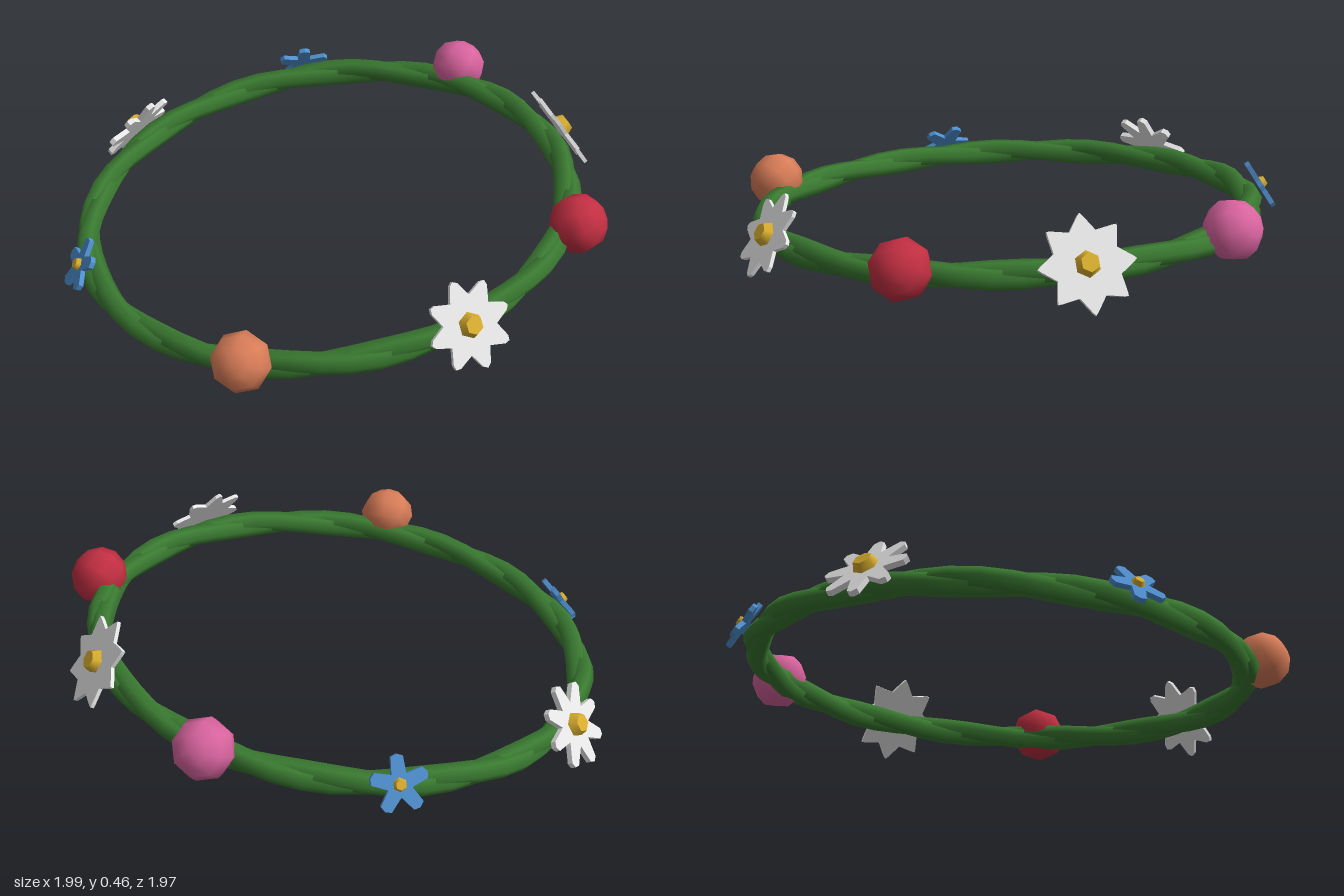
import * as THREE from 'three';

const mat = (name, color, side = THREE.FrontSide) => {
  const m = new THREE.MeshStandardMaterial({ color, side });
  m.name = name;
  return m;
};

export function createModel() {
  const green = mat('vine green', 0x3a7a31);
  const white = mat('petal white', 0xe8e8e8);
  const yellow = mat('pollen yellow', 0xd9ae2f);
  const blue = mat('petal blue', 0x4f8fcf);
  const red = mat('rose red', 0xc22f42);
  const pink = mat('rose pink', 0xd9649f);
  const orange = mat('rose orange', 0xd97d58);

  const crown = new THREE.Group();
  crown.name = 'flowerCrown';
  const add = (parent, name, geometry, material) => {
    const mesh = new THREE.Mesh(geometry, material);
    mesh.name = name;
    parent.add(mesh);
    return mesh;
  };

  // Tilted ring of two vines twisted round each other
  const ring = new THREE.Group();
  ring.name = 'vineRing';
  ring.position.set(-0.018, 0.176, -0.015);
  ring.rotation.z = Math.atan(0.129);
  crown.add(ring);
  const R = 0.879, offset = 0.012, twists = 7;
  for (let s = 0; s < 2; s++) {
    const points = [];
    for (let i = 0; i < 56; i++) {
      const a = (i / 56) * Math.PI * 2;
      const w = a * twists + s * Math.PI;
      const r = R + offset * Math.cos(w);
      points.push(new THREE.Vector3(r * Math.cos(a), offset * Math.sin(w), r * Math.sin(a)));
    }
    const path = new THREE.CatmullRomCurve3(points, true);
    add(ring, 'vine' + (s + 1), new THREE.TubeGeometry(path, 56, 0.039, 6, true), green);
  }

  // Blossoms face outward and a little upward
  const place = (name, x, y, z) => {
    const g = new THREE.Group();
    g.name = name;
    g.position.set(x, y, z);
    const h = Math.hypot(x, z);
    g.lookAt(x + (0.84 * x) / h, y + 0.54, z + (0.84 * z) / h);
    crown.add(g);
    return g;
  };

  // Flat flower: petals narrow to a blunt tip, with a domed hexagonal centre
  const flower = (name, pos, o) => {
    const g = place(name, ...pos);
    const shape = new THREE.Shape();
    const step = (Math.PI * 2) / o.petals;
    for (let i = 0; i < o.petals; i++) {
      const a = Math.PI / 2 + o.turn + i * step;
      const profile = [
        [-step / 2, o.valley],
        [-o.tipWidth, o.radius * 0.94],
        [0, o.radius],
        [o.tipWidth, o.radius * 0.94],
      ];
      profile.forEach(([da, r], k) => {
        const px = r * Math.cos(a + da), py = r * Math.sin(a + da);
        if (i + k === 0) shape.moveTo(px, py);
        else shape.lineTo(px, py);
      });
    }
    shape.closePath();
    const depth = o.depth;
    const plate = new THREE.ExtrudeGeometry(shape, { depth, bevelEnabled: false });
    plate.translate(0, 0, -depth / 2);
    add(g, 'petals', plate, o.material);
    const centre = new THREE.CylinderGeometry(o.centre * 0.7, o.centre, o.centre * 0.7, 6);
    centre.rotateX(Math.PI / 2);
    add(g, 'flowerCentre', centre, yellow).position.z = depth / 2 + o.centre * 0.3;
  };

  const daisy = { petals: 8, radius: 0.155, valley: 0.1, tipWidth: 0.1, turn: 0, depth: 0.014, centre: 0.046, material: white };
  flower('leftDaisy', [0.9, 0.325, -0.01], { ...daisy, radius: 0.166, valley: 0.115, tipWidth: 0.06 });
  flower('frontDaisy', [0.18, 0.24, 0.895], { ...daisy, turn: 0.15 });
  flower('backDaisy', [-0.55, 0.15, -0.78], { ...daisy, radius: 0.153, valley: 0.078, tipWidth: 0.13, depth: 0.02 });

  const small = { petals: 5, radius: 0.1, valley: 0.042, tipWidth: 0.22, turn: 0, depth: 0.018, centre: 0.025, material: blue };
  flower('rightBlueFlower', [-0.935, 0.1, -0.015], { ...small, turn: 0.4 });
  flower('backBlueFlower', [0.18, 0.235, -0.925], small);

  // Rounded rose buds
  const rose = (name, pos, radius, material) => {
    const bud = new THREE.SphereGeometry(radius, 8, 6);
    bud.rotateX(Math.PI / 2);
    bud.scale(1, 1, 0.93);
    add(place(name, ...pos), 'bud', bud, material);
  };
  rose('redRose', [0.72, 0.3, 0.555], 0.108, red);
  rose('pinkRose', [0.72, 0.305, -0.585], 0.108, pink);
  rose('orangeRose', [-0.555, 0.16, 0.75], 0.105, orange);

  return crown;
}
